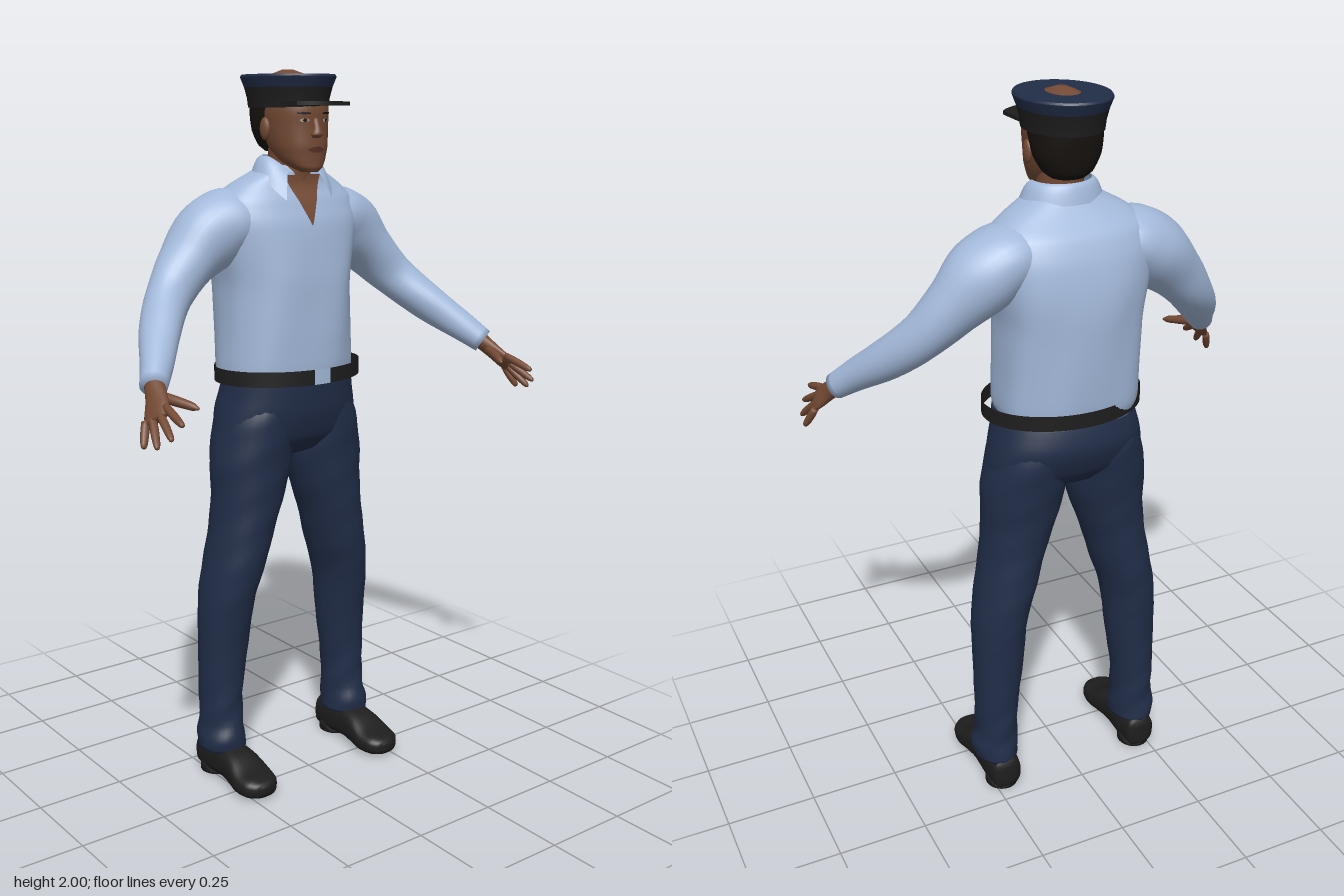
import * as THREE from 'three';

const mat = (name, color, side = THREE.FrontSide) => {
  const m = new THREE.MeshStandardMaterial({ color, side });
  m.name = name;
  return m;
};
const V = (a) => new THREE.Vector3(a[0], a[1], a[2]);

// Smooth closed skin through rows of [x, y, z, radiusU, radiusV, power].
// V radius follows ref; sections lie across the path unless a fixed axis is given.
function loft(rows, { ref = [0, 0, 1], axis = null, sides = 28, steps = 4, power = 2, fold = null } = {}) {
  const path = new THREE.CatmullRomCurve3(rows.map(V));
  const size = new THREE.CatmullRomCurve3(rows.map((r) => new THREE.Vector3(r[3], r[4], r[5] ?? power)));
  const n = (rows.length - 1) * steps;
  const pos = [], idx = [];
  for (let i = 0; i <= n; i++) {
    const c = path.getPoint(i / n), r = size.getPoint(i / n);
    const t = axis ? V(axis) : path.getTangent(i / n);
    const v = V(ref).addScaledVector(t, -V(ref).dot(t)).normalize();
    const u = t.clone().cross(v);
    for (let j = 0; j < sides; j++) {
      const a = (j / sides) * Math.PI * 2, ca = Math.cos(a), sa = Math.sin(a);
      const k = fold ? 1 + fold(a, c.y) : 1;
      const p = c.clone()
        .addScaledVector(u, Math.sign(ca) * Math.abs(ca) ** (2 / r.z) * r.x * k)
        .addScaledVector(v, Math.sign(sa) * Math.abs(sa) ** (2 / r.z) * r.y * k);
      pos.push(p.x, p.y, p.z);
      if (i < n) {
        const A = i * sides + j, B = i * sides + ((j + 1) % sides);
        idx.push(A, A + sides, B, B, A + sides, B + sides);
      }
    }
  }
  // end caps
  const end = pos.length / 3, last = n * sides;
  const a = path.getPoint(0), b = path.getPoint(1);
  pos.push(a.x, a.y, a.z, b.x, b.y, b.z);
  for (let j = 0; j < sides; j++) {
    const k = (j + 1) % sides;
    idx.push(end, j, k, end + 1, last + k, last + j);
  }
  return surface(pos, idx);
}

function surface(pos, idx) {
  const g = new THREE.BufferGeometry();
  g.setAttribute('position', new THREE.Float32BufferAttribute(pos, 3));
  g.setIndex(idx);
  g.computeVertexNormals();
  return g;
}

// Grid of points from f(row, column), both 0..1
function grid(nr, nc, f) {
  const pos = [], idx = [];
  for (let i = 0; i <= nr; i++) for (let j = 0; j <= nc; j++) {
    pos.push(...f(i / nr, j / nc));
    if (i < nr && j < nc) {
      const a = i * (nc + 1) + j, b = a + nc + 1;
      idx.push(a, b, a + 1, a + 1, b, b + 1);
    }
  }
  return surface(pos, idx);
}

// Thin face laid onto the front of a mesh, between edges(t) from top to bottom
function decal(target, top, bottom, edges, lift = 0.003) {
  const ray = new THREE.Raycaster();
  return grid(8, 8, (t, s) => {
    const y = top + (bottom - top) * t, [l, r] = edges(t), x = l + (r - l) * s;
    ray.set(new THREE.Vector3(x, y, 1), new THREE.Vector3(0, 0, -1));
    const hit = ray.intersectObject(target)[0];
    return [x, y, (hit ? hit.point.z : 0) + lift];
  });
}

export function createModel() {
  const model = new THREE.Group();
  model.name = 'uniformedMan';
  const shirt = mat('light blue cloth', 0xa3b9da, THREE.DoubleSide);
  const navy = mat('navy cloth', 0x212d48);
  const black = mat('black leather', 0x1e1e1e, THREE.DoubleSide);
  const skin = mat('brown skin', 0x744a34);
  const hair = mat('black hair', 0x17130f);
  const lip = mat('lips', 0x5a3226);
  const white = mat('eye white', 0xa89a8e);
  const add = (name, geometry, material) => {
    const m = new THREE.Mesh(geometry, material);
    m.name = name;
    model.add(m);
    return m;
  };
  const UP = [0, 1, 0];

  // shirt body, with soft vertical folds
  const torso = add('shirtBody', loft([
    [0, 1.155, -0.118, 0.185, 0.138], [0, 1.2, -0.12, 0.196, 0.15], [0, 1.3, -0.122, 0.193, 0.155],
    [0, 1.42, -0.125, 0.193, 0.157], [0, 1.52, -0.128, 0.21, 0.152], [0, 1.6, -0.126, 0.222, 0.139],
    [0, 1.66, -0.123, 0.21, 0.115], [0, 1.7, -0.112, 0.165, 0.085], [0, 1.73, -0.1, 0.11, 0.072],
    [0, 1.75, -0.095, 0.075, 0.06],
  ], { axis: UP, sides: 64, power: 2.5, fold: (a, y) => 0.012 * Math.sin(a * 7 + y * 9) * Math.max(0, Math.min(1, (1.66 - y) * 5)) }), shirt);
  add('openNeck', decal(torso, 1.725, 1.59, (t) => [-0.06 * (1 - t), 0.06 * (1 - t)], 0.004), skin);

  // folded collar, open at the front with two points
  add('collar', grid(6, 40, (t, s) => {
    const phi = 0.6 + s * (Math.PI * 2 - 1.2);
    const f = Math.max(0, Math.cos(phi)) ** 2;
    const rx = 0.078 + t * (0.032 + 0.035 * f), rz = 0.068 + t * (0.022 + 0.035 * f);
    const y = 1.775 - 0.05 * f - t * (0.05 + 0.045 * f) + 0.012 * Math.sin(t * Math.PI);
    return [rx * Math.sin(phi), y, -0.09 + rz * Math.cos(phi)];
  }), shirt);

  // neck and head
  add('neck', loft([[0, 1.64, -0.09, 0.06, 0.055], [0, 1.72, -0.083, 0.06, 0.06], [0, 1.78, -0.083, 0.06, 0.062],
    [0, 1.84, -0.09, 0.06, 0.06]], { axis: UP }), skin);
  const head = add('head', loft([
    [0, 1.733, 0.002, 0.022, 0.022], [0, 1.745, -0.01, 0.042, 0.04], [0, 1.765, -0.033, 0.06, 0.064],
    [0, 1.8, -0.05, 0.074, 0.084], [0, 1.85, -0.068, 0.083, 0.1], [0, 1.9, -0.08, 0.088, 0.113],
    [0, 1.95, -0.088, 0.082, 0.105], [0, 1.983, -0.094, 0.046, 0.064], [0, 1.998, -0.095, 0.012, 0.018],
  ], { axis: UP, sides: 36, power: 2.2 }), skin);
  add('hair', loft([
    [0, 1.785, -0.12, 0.045, 0.045], [0, 1.8, -0.122, 0.064, 0.058], [0, 1.84, -0.118, 0.086, 0.074],
    [0, 1.88, -0.112, 0.092, 0.087], [0, 1.93, -0.1, 0.094, 0.105],
  ], { axis: UP, power: 2.2 }), hair);
  add('nose', loft([[0, 1.873, 0.027, 0.008, 0.008], [0, 1.845, 0.035, 0.011, 0.012], [0, 1.83, 0.036, 0.017, 0.015],
    [0, 1.822, 0.032, 0.01, 0.008]], { axis: [0, -1, 0], sides: 16 }), skin);
  add('mouth', decal(head, 1.799, 1.784, (t) => [-0.026 * Math.sin(0.3 + t * 2.5), 0.026 * Math.sin(0.3 + t * 2.5)]), lip);

  // cap: flared top, band and peak
  const lathe = (pts) => new THREE.LatheGeometry(pts.map((p) => new THREE.Vector2(...p)), 48).scale(1, 1, 1.22).translate(-0.002, 0, -0.09);
  add('capTop', lathe([[0.109, 1.95], [0.119, 1.977], [0.119, 1.98], [0.119, 1.98], [0.116, 1.985], [0.116, 1.985], [0, 1.987]]), navy);
  add('capBand', lathe([[0.09, 1.9], [0.1, 1.9], [0.1, 1.9], [0.103, 1.925], [0.111, 1.957]]), black);
  const peak = new THREE.Shape();
  peak.moveTo(-0.082, -0.03);
  peak.lineTo(-0.087, 0.065);
  peak.quadraticCurveTo(-0.05, 0.11, 0, 0.112);
  peak.quadraticCurveTo(0.05, 0.11, 0.087, 0.065);
  peak.lineTo(0.082, -0.03);
  add('capPeak', new THREE.ExtrudeGeometry(peak, { depth: 0.01, bevelEnabled: false }).rotateX(Math.PI / 2).translate(0, 1.915, 0), black);

  // belt is a loose open hoop; the buckle fills its front gap
  const hoop = (start, length, seg) => new THREE.CylinderGeometry(1, 1, 0.042, seg, 1, true, start, length)
    .scale(0.222, 1, 0.165).translate(0.007, 1.185, -0.11);
  add('belt', hoop(0.126, Math.PI * 2 - 0.246, 60), black);
  add('buckle', hoop(-0.12, 0.246, 6), shirt);

  // trouser seat
  add('trouserSeat', loft([
    [0, 0.945, -0.108, 0.1, 0.04], [0, 0.965, -0.11, 0.18, 0.085], [0, 1.01, -0.112, 0.224, 0.12],
    [0, 1.08, -0.114, 0.214, 0.141], [0, 1.13, -0.108, 0.202, 0.139], [0, 1.175, -0.1, 0.194, 0.132],
  ], { axis: UP, sides: 40, power: 2.3 }), navy);

  for (const s of [1, -1]) {
    const side = s > 0 ? 'left' : 'right';
    const flip = (rows) => rows.map(([x, ...r]) => [x * s, ...r]);
    const part = (name, rows, opts, m) => add(side + name, loft(flip(rows), opts), m);

    // trouser leg with crumpled hem
    part('TrouserLeg', [
      [0.226, 0.092, -0.125, 0.064, 0.08], [0.228, 0.125, -0.124, 0.066, 0.08], [0.224, 0.17, -0.128, 0.06, 0.071],
      [0.223, 0.25, -0.13, 0.061, 0.069], [0.213, 0.4, -0.128, 0.072, 0.074], [0.203, 0.55, -0.12, 0.078, 0.091],
      [0.18, 0.65, -0.113, 0.085, 0.102], [0.157, 0.75, -0.108, 0.09, 0.104], [0.135, 0.85, -0.107, 0.104, 0.108],
      [0.121, 0.95, -0.11, 0.118, 0.116], [0.11, 1.05, -0.112, 0.108, 0.125], [0.1, 1.12, -0.11, 0.09, 0.115],
    ], { axis: UP, fold: (a, y) => (y < 0.3 ? 0.025 : 0.008) * Math.sin(a * 3 + y * 60) }, navy);

    // shoe
    part('Shoe', [
      [0.222, 0.05, -0.213, 0.02, 0.03], [0.222, 0.052, -0.203, 0.042, 0.048], [0.222, 0.053, -0.15, 0.049, 0.052],
      [0.222, 0.057, -0.07, 0.05, 0.049], [0.222, 0.05, -0.02, 0.056, 0.045], [0.223, 0.036, 0.03, 0.062, 0.034],
      [0.223, 0.033, 0.07, 0.055, 0.029], [0.222, 0.032, 0.093, 0.036, 0.022], [0.222, 0.032, 0.102, 0.012, 0.01],
    ], { ref: UP, axis: [0, 0, 1], power: 2.8 }, black);
    part('ShoeHeel', [[0.222, 0, -0.158, 0.047, 0.05], [0.222, 0.03, -0.158, 0.047, 0.052]], { axis: UP, steps: 1 }, black);

    // sleeve
    part('Sleeve', [
      [0.12, 1.62, -0.125, 0.07, 0.095], [0.18, 1.602, -0.132, 0.09, 0.108], [0.238, 1.565, -0.135, 0.097, 0.1],
      [0.31, 1.5, -0.125, 0.077, 0.077], [0.385, 1.42, -0.098, 0.062, 0.06], [0.46, 1.34, -0.02, 0.053, 0.055],
      [0.52, 1.275, 0.06, 0.042, 0.043], [0.558, 1.234, 0.108, 0.035, 0.035],
    ], { fold: (a, y) => 0.018 * Math.sin(a * 3 + y * 40) }, shirt);

    // hand: flat palm, four fingers and thumb
    const index = [0.575, 1.195, 0.205], little = [0.612, 1.15, 0.155];
    part('Palm', [
      [0.552, 1.24, 0.1, 0.024, 0.026], [0.568, 1.211, 0.137, 0.019, 0.032],
      [0.586, 1.183, 0.168, 0.015, 0.039], [0.596, 1.168, 0.184, 0.009, 0.036],
    ], { ref: [-0.037 * s, 0.045, 0.05], sides: 20 }, skin);
    const tips = [[0.583, 1.17, 0.283], [0.606, 1.135, 0.27], [0.625, 1.11, 0.233], [0.632, 1.102, 0.18]];
    tips.forEach((tip, i) => {
      const k = V(index).lerp(V(little), i / 3), e = V(tip);
      const at = (t, r) => [...k.clone().lerp(e, t).toArray(), r, r];
      part('Finger' + (i + 1), [at(-0.2, 0.01), at(0.3, 0.011), at(0.8, 0.009), at(0.96, 0.006), at(1, 0.002)],
        { ref: [1, 0, 0], sides: 10, steps: 3 }, skin);
    });
    part('Thumb', [[0.558, 1.215, 0.13, 0.014, 0.014], [0.537, 1.207, 0.18, 0.013, 0.013],
      [0.516, 1.198, 0.222, 0.01, 0.01], [0.509, 1.194, 0.237, 0.003, 0.003]], { ref: UP, sides: 10 }, skin);

    // ear, eye and brow
    add(side + 'Ear', new THREE.SphereGeometry(1, 14, 10).scale(0.011, 0.03, 0.019).translate(s * 0.087, 1.845, -0.078), skin);
    const face = (name, cx, top, bottom, w, m, lift) => add(side + name, decal(head, top, bottom, (t) => {
      const h = w * Math.sqrt(Math.max(0, 1 - (2 * t - 1) ** 2));
      return [s * cx - h, s * cx + h];
    }, lift), m);
    face('EyeWhite', 0.034, 1.872, 1.862, 0.012, white, 0.002);
    face('Iris', 0.034, 1.872, 1.862, 0.005, hair, 0.004);
    face('Brow', 0.036, 1.888, 1.882, 0.018, hair, 0.003);
  }
  return model;
}
